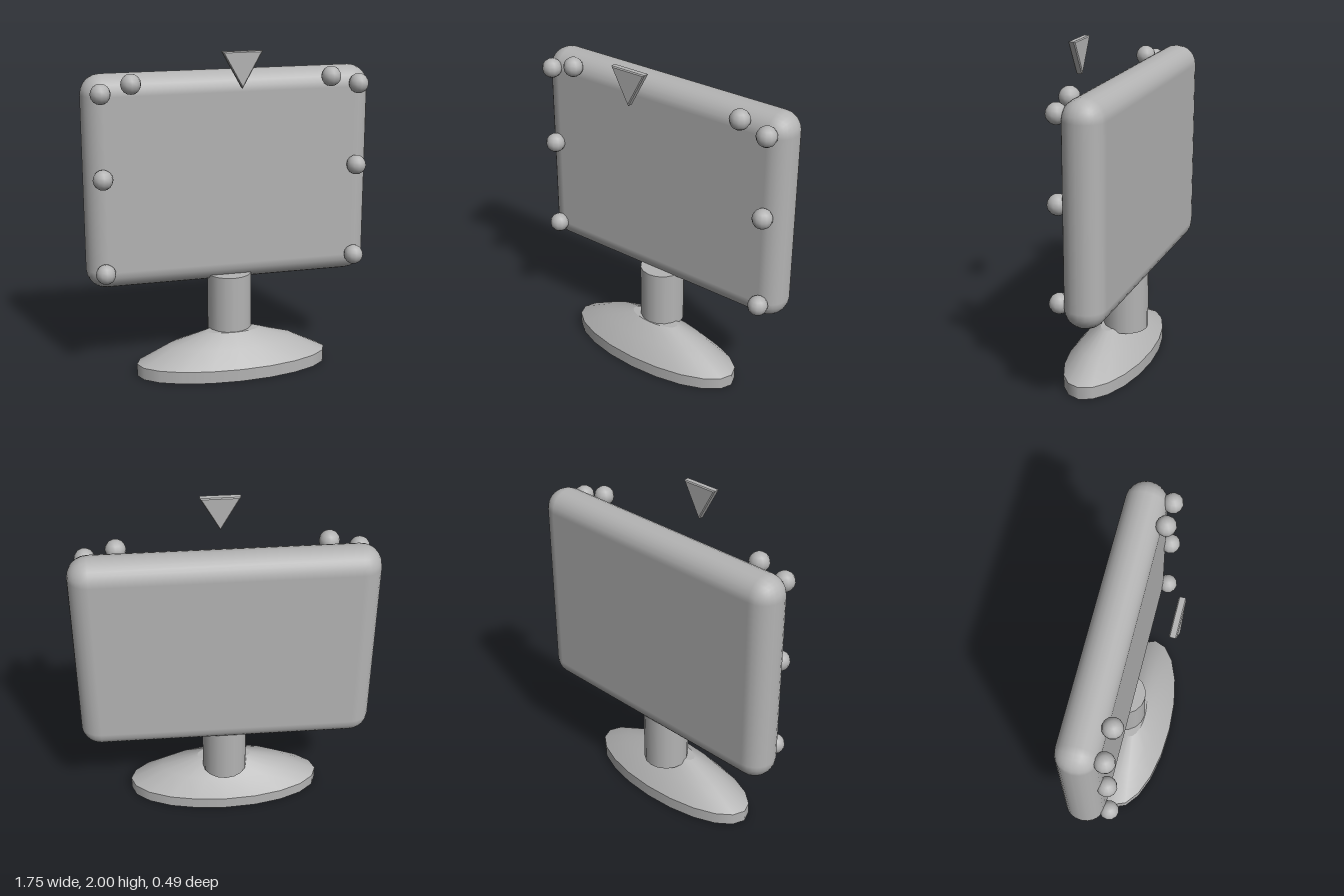
import * as THREE from 'three';
import { RoundedBoxGeometry } from 'three/addons/geometries/RoundedBoxGeometry.js';

export function createModel() {
  const model = new THREE.Group();
  const grey = new THREE.MeshStandardMaterial({ color: 0xb4b4b4 });
  grey.name = 'plain grey';

  const add = (name, geometry, x = 0, y = 0, z = 0, parent = model) => {
    const mesh = new THREE.Mesh(geometry, grey);
    mesh.name = name;
    mesh.position.set(x, y, z);
    parent.add(mesh);
    return mesh;
  };

  // Rounded panel
  add('panel', new RoundedBoxGeometry(1.75, 1.295, 0.245, 3, 0.12), 0, 1.2025, -0.1225);

  // Neck, set slightly behind the centre of the base
  add('neck', new THREE.CylinderGeometry(0.137, 0.137, 0.37, 16), 0, 0.415, -0.072);

  // Oval foot: straight rim with a shallow dome on top
  const foot = new THREE.Group();
  foot.name = 'foot';
  foot.scale.z = 0.4;
  model.add(foot);
  add('footRim', new THREE.CylinderGeometry(0.6, 0.6, 0.076, 20), 0, 0.038, 0, foot);
  const domeProfile = [[0.6, 0.076], [0.4, 0.178], [0.17, 0.25]].map(p => new THREE.Vector2(...p));
  add('footDome', new THREE.LatheGeometry(domeProfile, 20), 0, 0, 0, foot);
  const cap = add('footCap', new THREE.CircleGeometry(0.17, 20), 0, 0.25, 0, foot);
  cap.rotation.x = -Math.PI / 2;

  // Bulbs along the front edge, mirrored
  const bulb = new THREE.SphereGeometry(0.06, 12, 8);
  for (const side of [-1, 1]) {
    for (const [x, y] of [[0.775, 1.755], [0.775, 1.255], [0.775, 0.68], [0.6, 1.805]]) {
      add(side > 0 ? 'leftBulb' : 'rightBulb', bulb, side * x, y, 0.028);
    }
  }

  // Floating pointer with a slight bevel
  const pointer = new THREE.Shape();
  pointer.moveTo(-0.117, 2);
  pointer.lineTo(0, 1.79);
  pointer.lineTo(0.117, 2);
  pointer.closePath();
  add('pointer', new THREE.ExtrudeGeometry(pointer, {
    depth: 0.03, bevelEnabled: true, bevelThickness: 0.006, bevelSize: 0.008, bevelOffset: -0.008, bevelSegments: 1,
  }), 0, 0, 0.21);

  return model;
}
